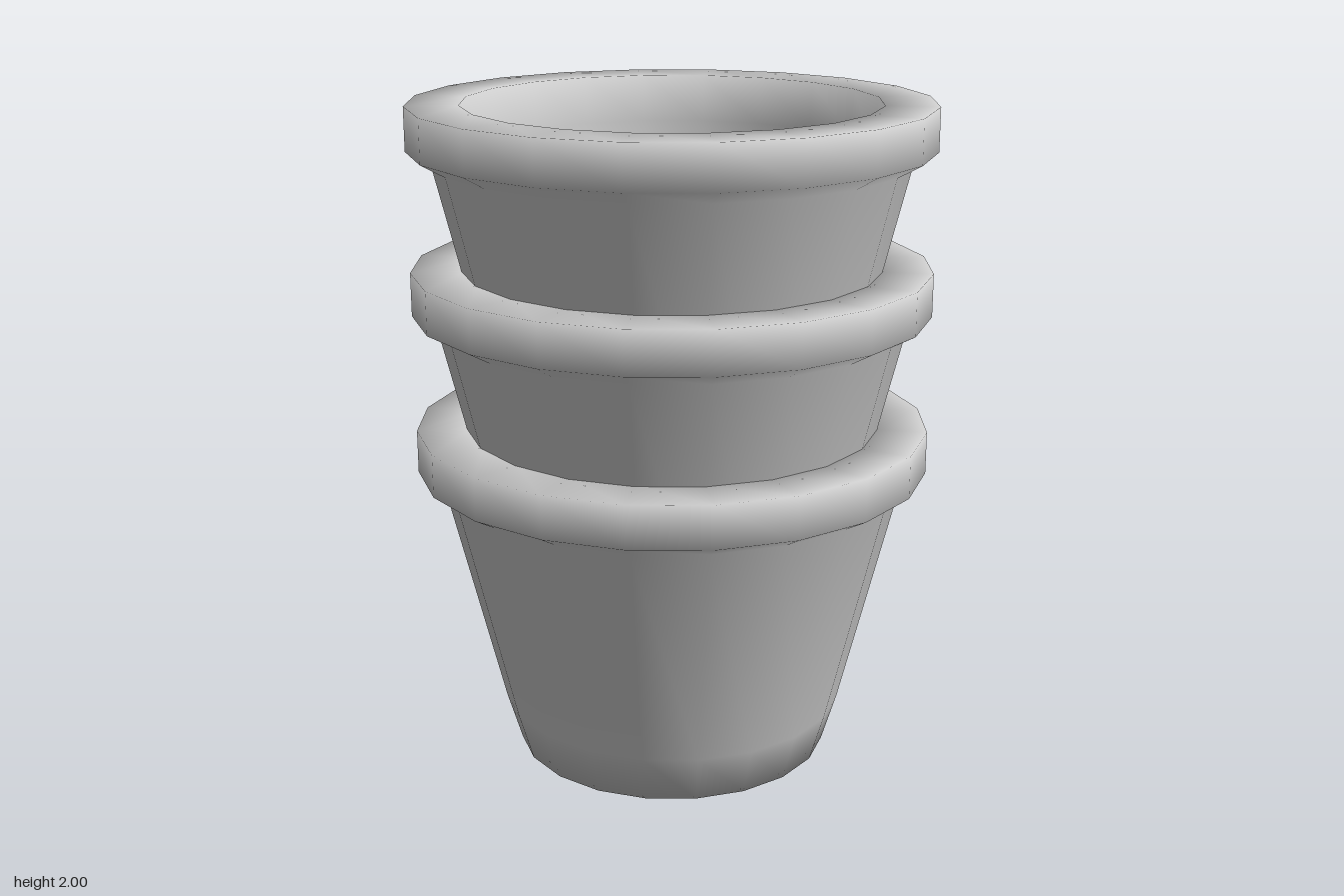
import * as THREE from 'three';

export function createModel() {
  const group = new THREE.Group();
  group.name = 'stackedPots';

  const clay = new THREE.MeshStandardMaterial({ color: 0xcccccc });
  clay.name = 'paleGrey';

  // Closed pot profile: base, outer wall, rim, inner wall, floor
  const profile = [
    [0, 0], [0.48, 0], [0.525, 0.15], [0.70, 0.865],
    [0.772, 0.905], [0.772, 1.034],
    [0.615, 1.034], [0.605, 0.89], [0.47, 0.17], [0, 0.17],
  ].map(([r, y]) => new THREE.Vector2(r, y));
  const potGeometry = new THREE.LatheGeometry(profile, 20);

  // Three identical pots nested in one another
  const names = ['bottomPot', 'middlePot', 'topPot'];
  names.forEach((name, i) => {
    const pot = new THREE.Mesh(potGeometry, clay);
    pot.name = name;
    pot.position.y = i * 0.483;
    group.add(pot);
  });

  return group;
}
